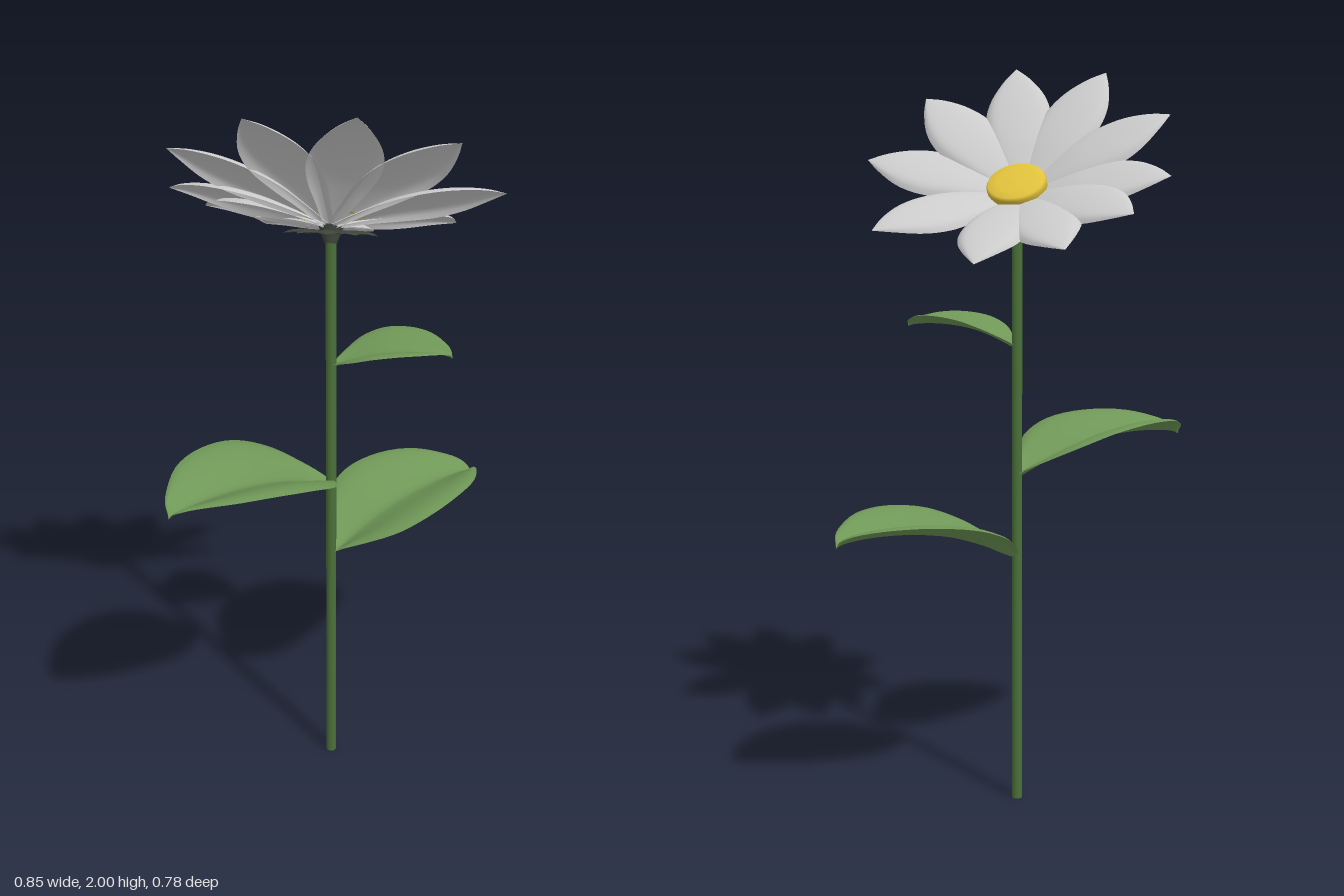
import * as THREE from 'three';

const mat = (color) => new THREE.MeshStandardMaterial({ color, roughness: 0.8, side: THREE.DoubleSide });
const V = (x, y, z) => new THREE.Vector3(x, y, z);
const rad = THREE.MathUtils.degToRad;

// Blade growing along +z. Each profile point is (half width, midrib height, distance).
// bend(a, halfWidth) gives the extra height at position a (-1..1) across the blade.
function blade(profile, bend, rows = 30, cols = 20) {
  const curve = new THREE.CatmullRomCurve3(profile);
  const pos = [], idx = [];
  for (let i = 0; i <= rows; i++) {
    const p = curve.getPoint(i / rows);
    const w = Math.max(p.x, 0);
    for (let j = 0; j <= cols; j++) {
      const a = (j / cols) * 2 - 1;
      pos.push(a * w, p.y + bend(a, w), p.z);
      if (i < rows && j < cols) {
        const k = i * (cols + 1) + j, n = k + cols + 1;
        idx.push(k, n, k + 1, k + 1, n, n + 1);
      }
    }
  }
  const g = new THREE.BufferGeometry();
  g.setAttribute('position', new THREE.Float32BufferAttribute(pos, 3));
  g.setIndex(idx);
  g.computeVertexNormals();
  return g;
}

export function createModel() {
  const model = new THREE.Group();
  const add = (parent, name, geo, material) => {
    const mesh = new THREE.Mesh(geo, material);
    mesh.name = name;
    parent.add(mesh);
    return mesh;
  };
  const leafMat = mat(0x6f9757), stemMat = mat(0x4a7038);
  const petalMat = mat(0xcccccc), sepalMat = mat(0x3f463c), discMat = mat(0xe0c13c);

  // Stem
  add(model, 'stem', new THREE.CylinderGeometry(0.014, 0.014, 1.64, 16), stemMat).position.set(-0.002, 0.82, 0);

  // Leaves: broad and blunt, with a soft groove along the midrib and rims curling over
  const leafGeo = blade([
    V(0.012, 0, 0), V(0.08, 0.02, 0.045), V(0.15, 0.05, 0.11), V(0.178, 0.08, 0.2), V(0.167, 0.098, 0.31),
    V(0.128, 0.102, 0.41), V(0.06, 0.096, 0.488), V(0.03, 0.09, 0.512), V(0, 0.084, 0.522),
  ], (a, w) => 0.052 * Math.sqrt(w / 0.17) * Math.sin(1.9 * Math.pow(Math.abs(a), 1.3)));
  const leaves = [
    ['lowerLeaf', 0.68, 135, 1],
    ['middleLeaf', 0.9, -45, 1],
    ['upperLeaf', 1.25, 86, 0.6],
  ];
  for (const [name, y, turn, size] of leaves) {
    const leaf = add(model, name, leafGeo, leafMat);
    leaf.position.y = y;
    leaf.rotation.y = rad(turn);
    leaf.scale.setScalar(size);
  }

  // Flower head, tilted towards the back
  const head = new THREE.Group();
  head.name = 'flowerHead';
  head.position.set(0, 1.68, 0.026);
  head.rotation.x = rad(-37.4);
  model.add(head);

  // Petals: pointed, forming a shallow bowl, with rims rolled down; each has a turn and a droop
  const petalGeo = blade([
    V(0.018, -0.03, 0.01), V(0.045, 0.003, 0.08), V(0.076, 0.036, 0.16), V(0.09, 0.061, 0.245),
    V(0.076, 0.076, 0.315), V(0.038, 0.084, 0.38), V(0, 0.083, 0.425),
  ], (a, w) => -(w / 0.09) * (0.01 * a * a + 0.014 * Math.pow(a, 8)));
  const petals = [
    [180, 0], [134.7, 0], [84, 4.5], [48.7, 0], [12.2, 0],
    [-23.7, 0], [-63.8, 0], [-98.3, 1.5], [-122.5, 0], [-149.6, 0],
  ];
  for (const [turn, droop] of petals) {
    add(head, 'petal', petalGeo, petalMat).rotation.set(rad(droop), rad(turn), 0, 'YXZ');
  }

  // Domed yellow centre
  const dome = [[0, -0.008], [0.074, -0.008], [0.079, 0], [0.08, 0.018], [0.075, 0.026], [0.05, 0.03], [0, 0.032]]
    .map(([x, y]) => new THREE.Vector2(x, y));
  add(head, 'flowerCentre', new THREE.LatheGeometry(dome, 40), discMat).position.z = -0.018;

  // Sepals and the cup joining them to the stem
  const calyx = new THREE.Group();
  calyx.name = 'calyx';
  calyx.position.set(0, 1.625, 0.018);
  calyx.rotation.x = rad(-20);
  model.add(calyx);
  const sepalGeo = blade([
    V(0.012, 0, 0.005), V(0.026, 0.006, 0.04), V(0.03, 0.008, 0.075), V(0.018, 0.004, 0.105), V(0, -0.004, 0.122),
  ], (a, w) => -0.25 * w * a * a, 10, 6);
  for (let i = 0; i < 10; i++) {
    add(calyx, 'sepal', sepalGeo, sepalMat).rotation.y = (i / 10) * Math.PI * 2;
  }
  add(calyx, 'cup', new THREE.CylinderGeometry(0.035, 0.016, 0.05, 20), sepalMat);

  return model;
}
